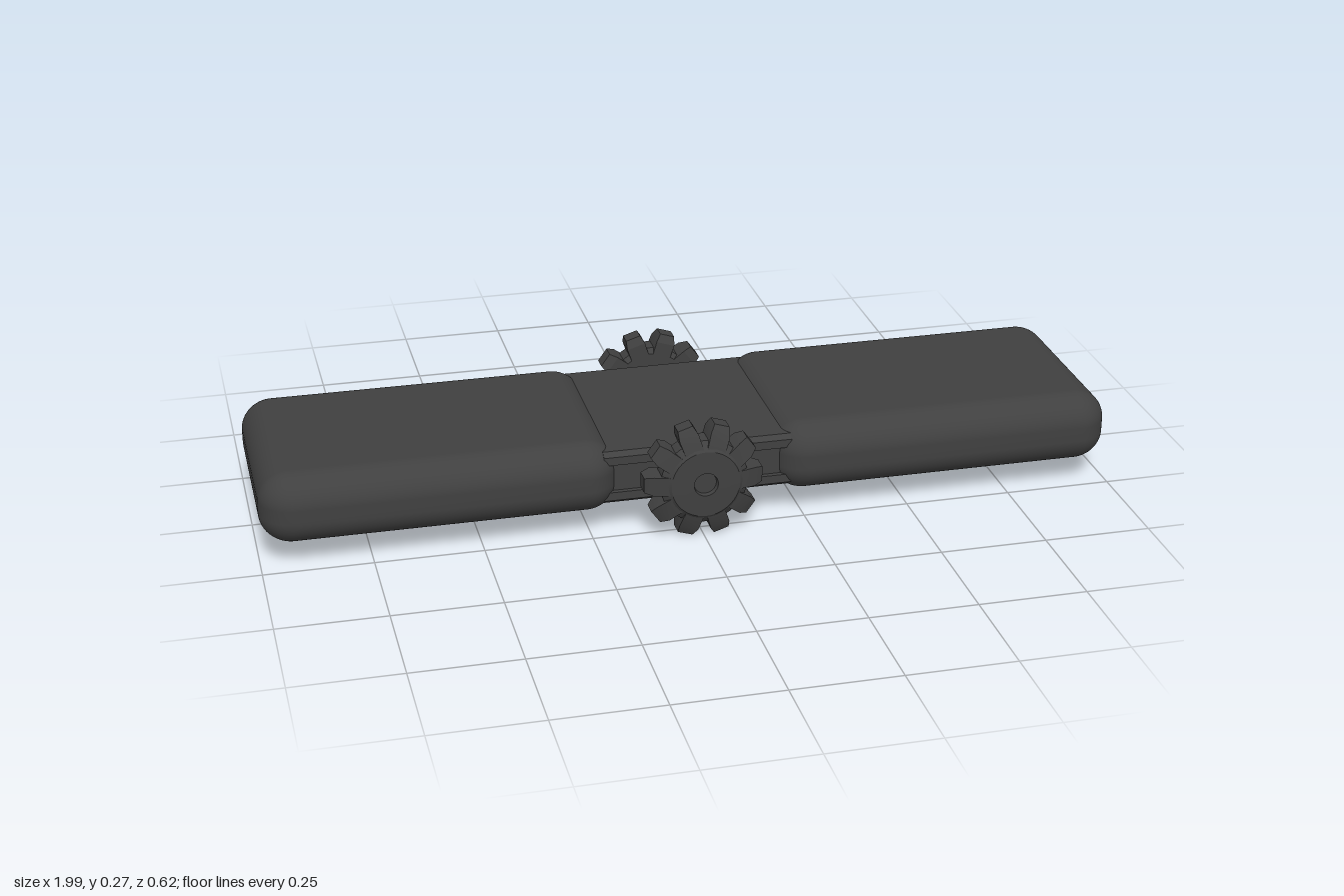
import * as THREE from 'three';
import { RoundedBoxGeometry } from 'three/addons/geometries/RoundedBoxGeometry.js';
import { mergeVertices, toCreasedNormals } from 'three/addons/utils/BufferGeometryUtils.js';

const MID_Y = 0.135; // height of the common centre line

const padMaterial = new THREE.MeshStandardMaterial({ color: 0x404040 });
const frameMaterial = new THREE.MeshStandardMaterial({ color: 0x404040 });

function addMesh(parent, name, geometry, material, x = 0, y = 0, z = 0) {
  const mesh = new THREE.Mesh(geometry, material);
  mesh.name = name;
  mesh.position.set(x, y, z);
  parent.add(mesh);
  return mesh;
}

// Soft padded block: a rounded box whose faces thin slightly towards the rim
function padGeometry(length, height, depth) {
  let geo = new RoundedBoxGeometry(length, height, depth, 8, 0.07);
  geo.deleteAttribute('normal');
  geo.deleteAttribute('uv');
  geo = mergeVertices(geo, 1e-4);
  const p = geo.attributes.position;
  for (let i = 0; i < p.count; i++) {
    const u = p.getX(i) / (length / 2);
    const v = p.getY(i) / (height / 2);
    const w = p.getZ(i) / (depth / 2);
    p.setXYZ(
      i,
      p.getX(i) * (1 - 0.018 * w * w),
      p.getY(i) * (1 - 0.05 * u ** 4 - 0.06 * w ** 4),
      p.getZ(i) * (1 - 0.03 * u ** 4 - 0.01 * v * v)
    );
  }
  geo.computeVertexNormals();
  return geo;
}

// Tooth pointing along +x, tapered at the front and narrowed at the tip
function toothGeometry() {
  const geo = new THREE.BoxGeometry(1, 1, 1, 2, 1, 1);
  const p = geo.attributes.position;
  // radius, half width, back z, front z
  const sections = [
    [0.08, 0.022, 0.0, 0.066],
    [0.118, 0.023, 0.0, 0.056],
    [0.138, 0.018, 0.008, 0.044]
  ];
  for (let i = 0; i < p.count; i++) {
    const [r, half, back, front] = sections[Math.round((p.getX(i) + 0.5) * 2)];
    p.setXYZ(i, r, Math.sign(p.getY(i)) * half, p.getZ(i) > 0 ? front : back);
  }
  return toCreasedNormals(geo, 0.3);
}

// Toothed knob facing +z, its back at z = 0
function createKnob() {
  const knob = new THREE.Group();
  const profile = [
    [0, 0], [0.09, 0], [0.102, 0.01], [0.102, 0.052], [0.084, 0.066],
    [0.08, 0.069], [0.028, 0.071], [0.026, 0.06], [0, 0.06]
  ].map(([r, h]) => new THREE.Vector2(r, h));
  const core = new THREE.LatheGeometry(profile, 40);
  core.rotateX(Math.PI / 2);
  addMesh(knob, 'knobCore', toCreasedNormals(core, 0.4), frameMaterial);

  const tooth = toothGeometry();
  for (let i = 0; i < 10; i++) {
    addMesh(knob, 'knobTooth', tooth, frameMaterial).rotation.z = (i * Math.PI) / 5;
  }

  // Short axle into the frame
  const axle = new THREE.CylinderGeometry(0.04, 0.04, 0.05, 24);
  axle.rotateX(Math.PI / 2);
  addMesh(knob, 'axle', axle, frameMaterial, 0, 0, -0.02);
  return knob;
}

export function createModel() {
  const model = new THREE.Group();
  model.name = 'paddedBar';

  // Two pads, left and right
  const pad = padGeometry(0.82, 0.175, 0.535);
  addMesh(model, 'leftPad', pad, padMaterial, 0.59, MID_Y + 0.001, 0);
  addMesh(model, 'rightPad', pad, padMaterial, -0.59, MID_Y + 0.001, 0);

  // Middle frame: chamfered cross-section swept along x
  const section = new THREE.Shape();
  [
    [-0.225, 0.064], [0.225, 0.064], [0.238, 0.054], [0.238, 0.034],
    [0.226, 0.034], [0.226, -0.034], [0.238, -0.034], [0.238, -0.054],
    [0.225, -0.064], [-0.225, -0.064], [-0.238, -0.054], [-0.238, -0.034],
    [-0.226, -0.034], [-0.226, 0.034], [-0.238, 0.034], [-0.238, 0.054]
  ].forEach(([z, y], i) => (i ? section.lineTo(z, y) : section.moveTo(z, y)));
  const frame = new THREE.ExtrudeGeometry(section, { depth: 0.44, bevelEnabled: false });
  frame.translate(0, 0, -0.22);
  frame.rotateY(Math.PI / 2);
  addMesh(model, 'middleFrame', frame, frameMaterial, 0, MID_Y + 0.002, 0);

  // Knobs at the front and back
  for (const side of [1, -1]) {
    const knob = createKnob();
    knob.name = side > 0 ? 'frontKnob' : 'backKnob';
    knob.position.set(0, MID_Y, side * 0.24);
    if (side < 0) knob.rotation.y = Math.PI;
    model.add(knob);
  }
  return model;
}
